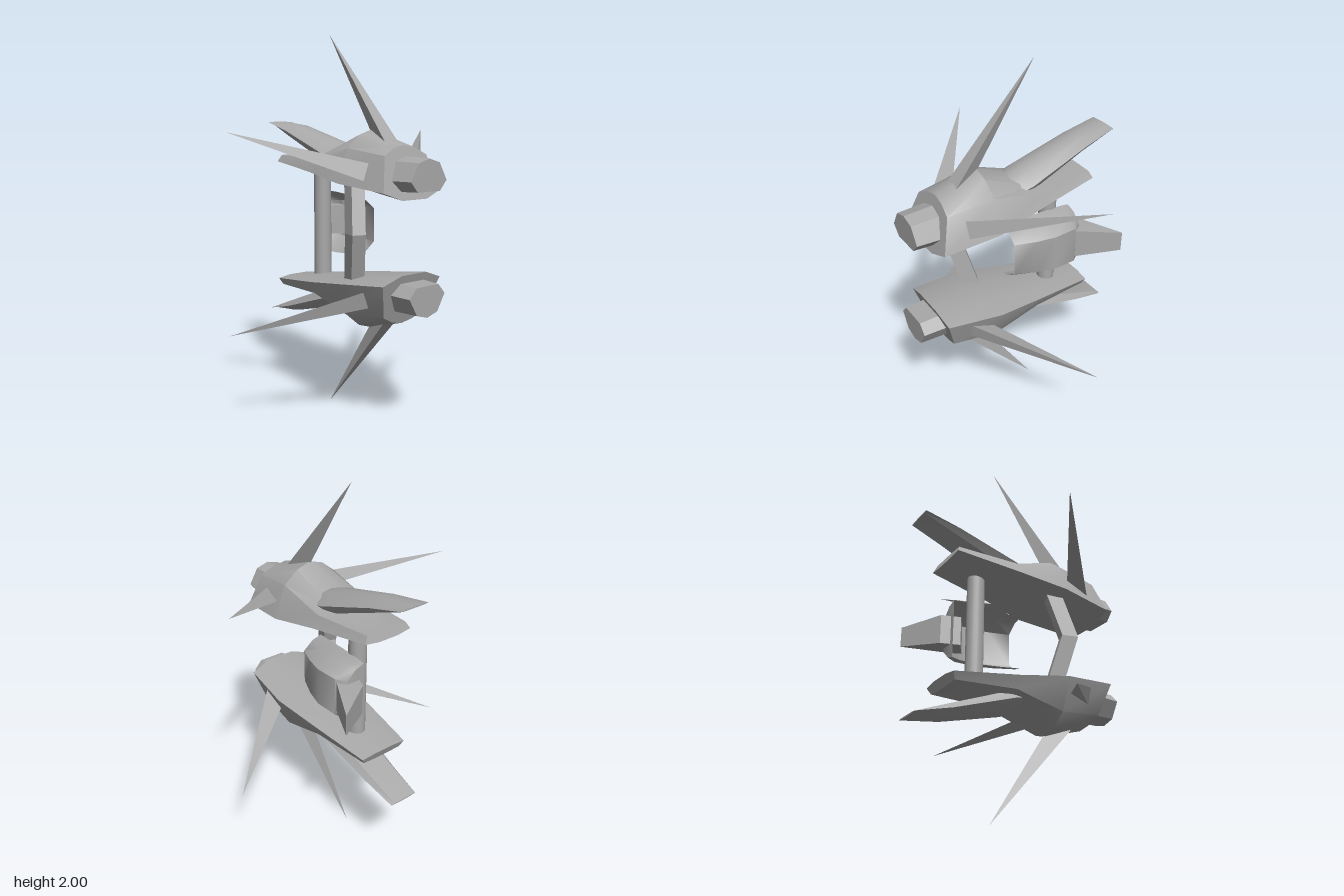
import * as THREE from 'three';
import { toCreasedNormals } from 'three/addons/utils/BufferGeometryUtils.js';
import { ConvexGeometry } from 'three/addons/geometries/ConvexGeometry.js';

// Skin a list of [x, y, z] rings; open lofts leave the last strip and end cap off.
function loft(rings, { closed = true, crease = 0.6 } = {}) {
  const pos = [];
  const tri = (a, b, c) => pos.push(...a, ...b, ...c);
  const n = rings[0].length;
  for (let i = 0; i < rings.length - 1; i++) {
    for (let j = 0; j < (closed ? n : n - 1); j++) {
      const k = (j + 1) % n;
      tri(rings[i][j], rings[i][k], rings[i + 1][j]);
      tri(rings[i][k], rings[i + 1][k], rings[i + 1][j]);
    }
  }
  const first = rings[0], last = rings[rings.length - 1];
  for (let j = 1; j < n - 1; j++) {
    tri(first[0], first[j + 1], first[j]);
    if (closed) tri(last[0], last[j], last[j + 1]);
  }
  const g = new THREE.BufferGeometry();
  g.setAttribute('position', new THREE.Float32BufferAttribute(pos, 3));
  return toCreasedNormals(g, crease);
}

// Full ring from a half profile that runs from the top centre down to the keel.
function mirrorRing(half) {
  const other = half.filter(p => p[2] > 0).reverse().map(([x, y, z]) => [x, y, -z]);
  return [...half, ...other];
}

function mesh(name, geometry, material) {
  const m = new THREE.Mesh(geometry, material);
  m.name = name;
  return m;
}

// Three-sided spike, its base pushed a little into the hull.
function spike(tip, base) {
  const t = new THREE.Vector3(...tip);
  const pts = base.map(p => new THREE.Vector3(...p).sub(t).multiplyScalar(1.06).add(t));
  return new ConvexGeometry([t, ...pts]);
}

function buildHull(mat) {
  const hull = new THREE.Group();

  // Main body: [bottom x, top x, keel y, edge y, edge z, shoulder z, shoulder y, top y]
  const body = [
    [-0.43, -0.41, 1.32, 1.33, 0.14, 0.12, 1.365, 1.37],
    [-0.08, -0.08, 1.267, 1.29, 0.185, 0.155, 1.355, 1.375],
    [0.19, 0.19, 1.227, 1.25, 0.225, 0.16, 1.42, 1.51],
    [0.5, 0.42, 1.18, 1.22, 0.195, 0.14, 1.39, 1.44],
  ].map(([xb, xt, yb, yc, w, s, ys, yt]) => {
    const xAt = y => xb + (xt - xb) * (y - yb) / (yt - yb);
    const ym = ys + (yt - ys) * 0.72;
    return mirrorRing([
      [xt, yt, 0], [xAt(ym), ym, s * 0.5], [xAt(ys), ys, s],
      [xAt(yc), yc, w], [xb, yb, w * 0.42],
    ]);
  });
  hull.add(mesh('hullBody', loft(body), mat));

  // Faceted nozzle at the end of the hull
  const nozzle = [[0.38, 1.1], [0.59, 1]].map(([x, k]) => mirrorRing(
    [[1.38, 0], [1.36, 0.07], [1.275, 0.12], [1.225, 0.075]]
      .map(([y, z]) => [x, 1.3 + (y - 1.3) * k, z * k])));
  hull.add(mesh('nozzle', loft(nozzle, { crease: 0.3 }), mat));

  // Raised tail plate: [x, top y, bottom y, half width]
  const tail = [
    [-0.59, 1.547, 1.54, 0.083],
    [-0.4, 1.532, 1.465, 0.098],
    [-0.06, 1.445, 1.335, 0.122],
    [0.08, 1.4, 1.3, 0.1],
  ].map(([x, t, b, w]) => mirrorRing([
    [x, t, 0], [x, t - (t - b) * 0.1, w * 0.5],
    [x, t - (t - b) * 0.55, w], [x, b, w * 0.75],
  ]));
  hull.add(mesh('tailPlate', loft(tail), mat));

  // One upright spike and a mirrored pair at the sides
  hull.add(mesh('topSpike', spike([-0.14, 2, 0],
    [[0.185, 1.5, 0], [0.345, 1.44, 0.045], [0.345, 1.44, -0.045]]), mat));
  for (const s of [1, -1]) {
    hull.add(mesh(s > 0 ? 'frontSpike' : 'backSpike', spike([-0.11, 1.5, 0.665 * s],
      [[0.215, 1.33, 0.2 * s], [0.36, 1.35, 0.155 * s], [0.36, 1.265, 0.185 * s]]), mat));
  }
  return hull;
}

export function createModel() {
  const model = new THREE.Group();
  model.name = 'twinHullCraft';
  const grey = new THREE.MeshStandardMaterial({ color: 0xa8a8a8 });
  grey.name = 'hullGrey';
  grey.side = THREE.DoubleSide;

  // The two hulls are the same, one turned over
  const upper = buildHull(grey);
  upper.name = 'upperHull';
  const lower = buildHull(grey);
  lower.name = 'lowerHull';
  lower.rotation.x = Math.PI;
  lower.position.y = 2;
  model.add(upper, lower);

  // Round pillar joining the hulls
  const pillar = mesh('pillar', new THREE.CylinderGeometry(0.047, 0.047, 0.64, 20), grey);
  pillar.position.set(-0.228, 1, -0.02);
  model.add(pillar);

  // Bent strut joining the hulls
  const strut = [[0.18, 0.74, 0.105], [0.245, 1, 0.155], [0.18, 1.26, 0.105]]
    .map(([x, y, z]) => [[0.03, 0.045], [0.055, -0.02], [-0.03, -0.045], [-0.055, 0.02]]
      .map(([dx, dz]) => [x + dx, y, z + dz]));
  model.add(mesh('bentStrut', loft(strut, { crease: 0.2 }), grey));

  // Hollow cowl behind the pillar: [x, half height, front z, back z]
  const cowl = [
    [-0.33, 0.163, -0.065, -0.165],
    [-0.28, 0.17, -0.065, -0.205],
    [-0.15, 0.168, -0.055, -0.21],
    [-0.05, 0.16, -0.045, -0.185],
    [0.06, 0.15, -0.03, -0.14],
  ].map(([x, h, f, b]) => [[-1, 0], [-0.9, 0.5], [-0.6, 1], [0.6, 1], [0.9, 0.5], [1, 0]]
    .map(([y, t]) => [x, 1 + y * h, f + (b - f) * t]));
  model.add(mesh('cowl', loft(cowl, { closed: false, crease: 0.9 }), grey));

  // Wedge pointing back from the corner of the cowl: [x1, z1, x2, z2, half height]
  const wedge = [
    [-0.505, -0.315, -0.507, -0.314, 0.055],
    [-0.29, -0.2, -0.38, -0.11, 0.08],
    [-0.22, -0.17, -0.28, -0.075, 0.08],
  ].map(([x1, z1, x2, z2, h]) => [
    [x1, 1 + h, z1], [x2, 1 + h, z2], [x2, 1 - h, z2], [x1, 1 - h, z1],
  ]);
  model.add(mesh('cowlWedge', loft(wedge, { crease: 0.3 }), grey));

  return model;
}
